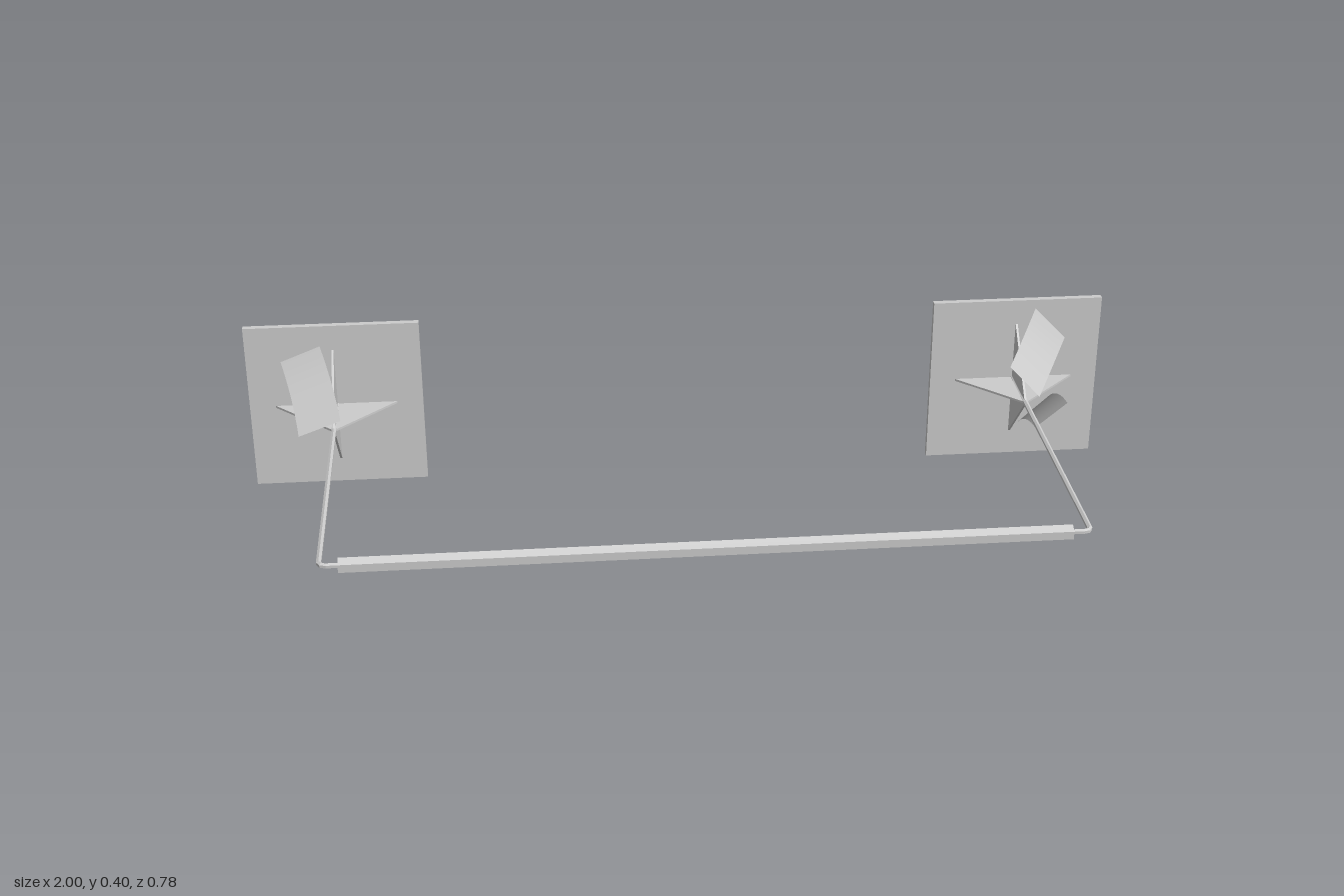
import * as THREE from 'three';

const grey = new THREE.MeshStandardMaterial({ color: 0xcccccc, side: THREE.DoubleSide });
const flat = new THREE.MeshStandardMaterial({ color: 0xcccccc, flatShading: true });
const V = (x, y, z) => new THREE.Vector3(x, y, z);

function part(name, geometry, material = flat) {
  const mesh = new THREE.Mesh(geometry, material);
  mesh.name = name;
  return mesh;
}

// Curved rectangular sheet between a near edge (a, b) and a far edge (c, d), sagging by a vector
function sheet(name, a, b, c, d, sag) {
  const n = 10;
  const geometry = new THREE.PlaneGeometry(1, 1, n, n);
  const pos = geometry.attributes.position;
  for (let i = 0; i < pos.count; i++) {
    const u = pos.getX(i) + 0.5, v = pos.getY(i) + 0.5;
    const near = a.clone().lerp(b, u), far = c.clone().lerp(d, u);
    const p = near.lerp(far, v).addScaledVector(sag, 4 * v * (1 - v));
    pos.setXYZ(i, p.x, p.y, p.z);
  }
  geometry.computeVertexNormals();
  return part(name, geometry, grey);
}

// Wall plate with crossed triangular gussets and a bent rod
function bracket(side) {
  const group = new THREE.Group();
  group.name = side > 0 ? 'leftBracket' : 'rightBracket';
  const x = 0.8 * side;

  const plate = part('wallPlate', new THREE.BoxGeometry(0.4, 0.4, 0.015));
  plate.position.set(x, 0.2, -0.3825);
  group.add(plate);

  const triangle = new THREE.Shape([
    new THREE.Vector2(-0.14, 0), new THREE.Vector2(0.14, 0), new THREE.Vector2(0, 0.14),
  ]);
  const thickness = 0.005;
  for (const turn of [0, Math.PI / 2]) {
    const geometry = new THREE.ExtrudeGeometry(triangle, { depth: thickness, bevelEnabled: false });
    geometry.translate(0, 0, -thickness / 2).rotateX(Math.PI / 2).rotateZ(turn);
    const gusset = part(turn ? 'verticalGusset' : 'horizontalGusset', geometry);
    gusset.position.set(x, 0.2, -0.375);
    group.add(gusset);
  }

  // Rod runs out from the plate and turns in towards the bar
  const path = new THREE.CurvePath();
  path.add(new THREE.LineCurve3(V(x, 0.2, -0.39), V(x, 0.2, 0.36)));
  path.add(new THREE.QuadraticBezierCurve3(
    V(x, 0.2, 0.36), V(x, 0.2, 0.375), V(x - 0.015 * side, 0.2, 0.375)));
  path.add(new THREE.LineCurve3(V(x - 0.015 * side, 0.2, 0.375), V(x - 0.045 * side, 0.2, 0.375)));
  group.add(part('supportRod', new THREE.TubeGeometry(path, 80, 0.006, 6)));

  const cap = part('rodEnd', new THREE.CylinderGeometry(0.007, 0.007, 0.003, 6));
  cap.rotation.x = Math.PI / 2;
  cap.position.set(x, 0.2, -0.39);
  group.add(cap);
  return group;
}

export function createModel() {
  const model = new THREE.Group();
  model.name = 'wallRail';
  model.add(bracket(1), bracket(-1));

  // Six-sided bar across the front
  const bar = part('bar', new THREE.CylinderGeometry(0.018, 0.018, 1.52, 6));
  bar.rotation.z = Math.PI / 2;
  bar.rotation.x = 0;
  bar.geometry.rotateY(Math.PI / 2);
  bar.position.set(0, 0.2, 0.375);
  model.add(bar);

  // Curved sheets leaning from the rods back to the plates
  model.add(
    sheet('rightSheet',
      V(-0.88, 0.19, -0.235), V(-0.783, 0.228, -0.23),
      V(-0.92, 0.315, -0.372), V(-0.828, 0.353, -0.368), V(0.003, -0.008, -0.012)),
    sheet('leftUpperSheet',
      V(0.757, 0.295, -0.235), V(0.83, 0.218, -0.23),
      V(0.84, 0.383, -0.365), V(0.917, 0.303, -0.37), V(0, -0.012, -0.008)),
    sheet('leftLowerSheet',
      V(0.85, 0.218, -0.23), V(0.783, 0.148, -0.24),
      V(0.938, 0.128, -0.372), V(0.863, 0.066, -0.37), V(0, 0.012, -0.008)),
  );
  return model;
}
